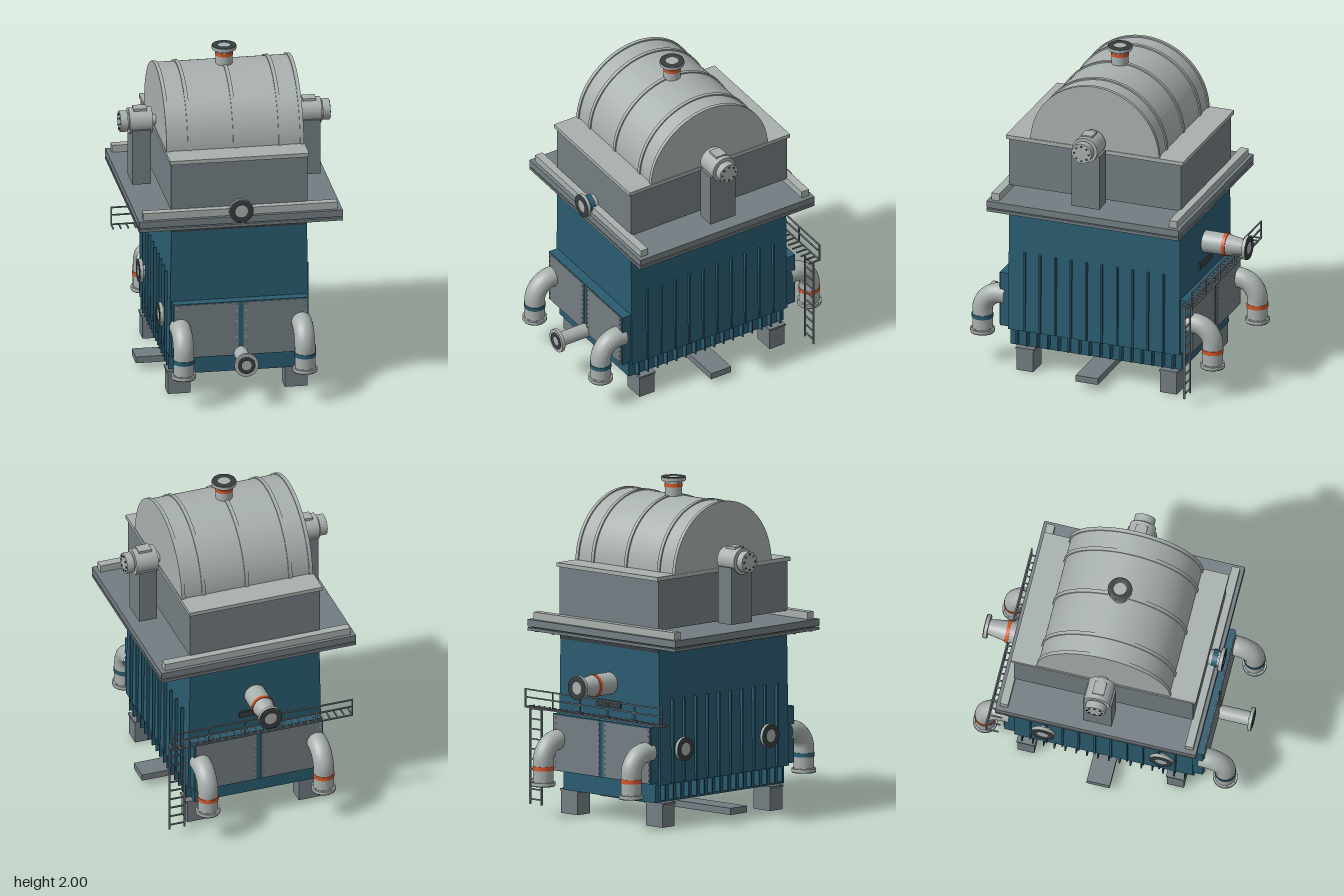
import * as THREE from 'three';

const mat = (name, color) => Object.assign(new THREE.MeshStandardMaterial({ color }), { name });
const UP = new THREE.Vector3(0, 1, 0);

export function createModel() {
  const light = mat('lightGrey', 0xa8b0ae);
  const mid = mat('midGrey', 0x737d82);
  const teal = mat('tealBlue', 0x2a5c70);
  const dark = mat('darkGrey', 0x363c3e);
  const orange = mat('orange', 0xd4572a);
  const model = new THREE.Group();
  model.name = 'industrialUnit';

  const add = (name, geo, material, parent = model) => {
    const m = new THREE.Mesh(geo, material);
    m.name = name;
    parent.add(m);
    return m;
  };
  // box given by its min and max on each axis
  const box = (name, material, x0, x1, y0, y1, z0, z1, parent = model) => {
    const m = add(name, new THREE.BoxGeometry(x1 - x0, y1 - y0, z1 - z0), material, parent);
    m.position.set((x0 + x1) / 2, (y0 + y1) / 2, (z0 + z1) / 2);
    return m;
  };
  // cylinder along local y between two heights
  const rod = (name, material, r0, r1, y0, y1, parent, sides = 32) => {
    const m = add(name, new THREE.CylinderGeometry(r1, r0, y1 - y0, sides), material, parent);
    m.position.y = (y0 + y1) / 2;
    return m;
  };
  // group whose local y points along dir
  const axis = (name, x, y, z, dx, dy, dz) => {
    const g = new THREE.Group();
    g.name = name;
    g.position.set(x, y, z);
    g.quaternion.setFromUnitVectors(UP, new THREE.Vector3(dx, dy, dz));
    model.add(g);
    return g;
  };
  // flange with a dark gasket face, ending at height end
  const flange = (g, end, r, ringOut = r * 0.97, ringIn = 0.038) => {
    rod('flange', light, r, r, end - 0.024, end - 0.004, g);
    const ring = [[ringIn, -0.006], [ringOut, -0.006], [ringOut, 0], [ringIn, 0], [ringIn, -0.006]];
    add('gasket', new THREE.LatheGeometry(ring.map(p => new THREE.Vector2(...p)), 32), dark, g).position.y = end;
    for (let i = 0; i < 8; i++) {
      const a = (i + 0.5) * Math.PI / 4;
      const b = rod('flangeBolt', light, 0.005, 0.005, end - 0.029, end - 0.023, g, 6);
      b.position.x = Math.cos(a) * (r - 0.011);
      b.position.z = Math.sin(a) * (r - 0.011);
    }
  };

  // feet and cross beam
  for (const s of [-1, 1]) for (const z of [0.44, -0.47]) {
    box('foot', mid, s * 0.35 - 0.068, s * 0.35 + 0.068, 0, 0.135, z - 0.052, z + 0.052);
    box('footCap', mid, s * 0.35 - 0.075, s * 0.35 + 0.075, 0.135, 0.147, z - 0.056, z + 0.056);
  }
  box('crossBeam', mid, -0.54, 0.54, 0.04, 0.08, -0.07, 0.07);

  // tapered body on a narrower base
  box('base', teal, -0.38, 0.38, 0.145, 0.26, -0.54, 0.545);
  const taper = new THREE.Shape([[-0.42, 0.255], [0.42, 0.255], [0.405, 1.08], [-0.405, 1.08]]
    .map(p => new THREE.Vector2(...p)));
  add('body', new THREE.ExtrudeGeometry(taper, { depth: 1.085, bevelEnabled: false }), teal).position.z = -0.54;
  for (const z of [0.546, -0.541]) box('neckStrip', dark, -0.405, 0.405, 1.045, 1.08, z - 0.003, z + 0.003);
  for (const s of [-1, 1]) {
    for (let i = 0; i < 10; i++) {
      const z = 0.44 - i * 0.0978;
      box('sideRib', teal, s * 0.422 - 0.01, s * 0.422 + 0.01, 0.26, 0.76, z - 0.005, z + 0.005);
    }
    for (let i = 0; i < 16; i++) {
      const z = 0.495 - i * 0.066;
      box('baseGusset', teal, s * 0.398 - 0.02, s * 0.398 + 0.02, 0.16, 0.256, z - 0.004, z + 0.004);
    }
  }

  // access doors with rivets, front and back
  for (const f of [-1, 1]) {
    box('doorFrame', teal, -0.405, 0.405, 0.265, 0.605, f * 0.572 - 0.032, f * 0.572 + 0.032);
    for (const s of [-1, 1]) {
      box('door', mid, s * 0.205 - 0.19, s * 0.205 + 0.19, 0.27, 0.6, f * 0.605 - 0.004, f * 0.605 + 0.004);
      for (const x of [0.027, 0.383]) for (let i = 0; i < 10; i++) {
        const y = 0.285 + i * 0.033;
        box('rivet', light, s * x - 0.004, s * x + 0.004, y - 0.004, y + 0.004, f * 0.61 - 0.003, f * 0.61 + 0.003);
      }
    }
  }

  // elbow pipes: blue bands in front, orange at the back
  for (const f of [-1, 1]) for (const s of [-1, 1]) {
    const path = new THREE.CurvePath();
    const V = (y, z) => new THREE.Vector3(s * 0.363, y, f * z);
    path.add(new THREE.LineCurve3(V(0.453, 0.575), V(0.453, 0.61)));
    path.add(new THREE.CubicBezierCurve3(V(0.453, 0.61), V(0.453, 0.676), V(0.399, 0.73), V(0.333, 0.73)));
    path.add(new THREE.LineCurve3(V(0.333, 0.73), V(0.21, 0.73)));
    add('elbowPipe', new THREE.TubeGeometry(path, 36, 0.061, 24), light);
    const g = axis('elbowEnd', s * 0.363, 0.32, f * 0.73, 0, -1, 0);
    rod('elbowBand', f > 0 ? teal : orange, 0.064, 0.064, 0.01, 0.035, g);
    flange(g, 0.13, 0.073);
  }

  // front drain nozzle
  const drain = axis('drainNozzle', 0, 0.277, 0.54, 0, 0, 1);
  rod('drainPipe', light, 0.043, 0.043, 0, 0.26, drain);
  flange(drain, 0.275, 0.072, 0.053, 0.03);

  // upper front nozzle
  const inlet = axis('upperNozzle', 0, 1.185, 0.49, 0, 0, 1);
  rod('upperPipe', light, 0.048, 0.048, 0, 0.13, inlet);
  rod('upperBand', teal, 0.053, 0.053, 0.075, 0.107, inlet);
  flange(inlet, 0.145, 0.072);

  // rear nozzle with reducer and bracket
  const rear = axis('rearNozzle', 0, 0.822, -0.53, 0, 0, -1);
  rod('rearPipe', light, 0.066, 0.066, 0, 0.145, rear);
  rod('rearBand', orange, 0.069, 0.069, 0.135, 0.157, rear);
  rod('rearReducer', light, 0.066, 0.045, 0.145, 0.27, rear);
  flange(rear, 0.29, 0.073);
  box('rearBracket', dark, -0.1, 0.1, 0.68, 0.72, -0.55, -0.54);

  // side ports on the right
  for (const z of [-0.36, 0.36]) {
    const port = axis('sidePort', -0.4, 0.457, z, -1, 0, 0);
    rod('sidePortPipe', light, 0.046, 0.046, 0, 0.04, port);
    flange(port, 0.056, 0.071);
  }

  // deck plates, bolts and bearer bars
  box('lowerDeck', mid, -0.61, 0.61, 1.08, 1.097, -0.61, 0.61);
  box('deckSpacer', dark, -0.59, 0.59, 1.097, 1.104, -0.59, 0.59);
  box('upperDeck', mid, -0.61, 0.61, 1.104, 1.146, -0.61, 0.61);
  for (let i = 0; i < 9; i++) for (const s of [-1, 1]) {
    const t = -0.56 + i * 0.14;
    box('deckBolt', mid, t - 0.008, t + 0.008, 1.072, 1.08, s * 0.585 - 0.008, s * 0.585 + 0.008);
    box('deckBolt', mid, s * 0.585 - 0.008, s * 0.585 + 0.008, 1.072, 1.08, t - 0.008, t + 0.008);
  }
  for (const s of [-1, 1]) box('bearerBar', light, -0.582, 0.582, 1.146, 1.19, s * 0.563 - 0.025, s * 0.563 + 0.025);

  // upper casing and lid
  box('casing', mid, -0.408, 0.408, 1.18, 1.478, -0.545, 0.545);
  box('casingLid', light, -0.416, 0.416, 1.476, 1.5, -0.562, 0.562);

  // half drum with hoops
  const halfDrum = (name, r, x0, x1) => {
    const shape = new THREE.Shape();
    shape.absarc(0, 0, r, 0, Math.PI, false);
    shape.closePath();
    const geo = new THREE.ExtrudeGeometry(shape, { depth: x1 - x0, bevelEnabled: false, curveSegments: 28 });
    const m = add(name, geo, light);
    m.rotation.y = Math.PI / 2;
    m.position.set(x0, 1.486, 0);
  };
  halfDrum('drum', 0.4, -0.405, 0.405);
  for (const x of [-0.4, -0.272, 0, 0.272, 0.4]) halfDrum('drumHoop', 0.408, x - 0.011, x + 0.011);

  // top nozzle
  const top = axis('topNozzle', 0, 1.86, 0, 0, 1, 0);
  rod('topPipe', light, 0.05, 0.05, 0, 0.13, top);
  rod('topBand', orange, 0.054, 0.054, 0.078, 0.1, top);
  flange(top, 0.14, 0.073);

  // drive units on pedestals at each end of the drum
  for (const s of [-1, 1]) {
    box('pedestal', mid, s * 0.508 - 0.055, s * 0.508 + 0.055, 1.18, 1.52, -0.088, 0.088);
    const g = axis('driveUnit', 0, 1.552, 0, s, 0, 0);
    rod('driveShaft', light, 0.03, 0.03, 0.39, 0.45, g);
    rod('driveHousing', light, 0.079, 0.079, 0.437, 0.575, g);
    rod('driveNeck', light, 0.052, 0.052, 0.57, 0.595, g);
    rod('driveCover', light, 0.063, 0.063, 0.583, 0.628, g);
    for (let i = 0; i < 8; i++) {
      const b = rod('coverBolt', dark, 0.006, 0.006, 0.626, 0.633, g, 6);
      b.position.x = Math.cos(i * Math.PI / 4) * 0.046;
      b.position.z = Math.sin(i * Math.PI / 4) * 0.046;
    }
    box('drivePad', light, s * 0.506 - 0.04, s * 0.506 + 0.04, 1.62, 1.637, -0.035, 0.035);
  }

  // rear walkway with slats, rails and posts
  const t = 0.004;
  for (let i = 0; i < 26; i++) {
    const x = -0.562 + i * 0.04496;
    box('walkwaySlat', mid, x - t, x + t, 0.631, 0.639, -0.677, -0.6);
  }
  for (const y of [0.635, 0.695, 0.742]) box('walkwayRail', mid, -0.567, 0.567, y - t, y + t, -0.679, -0.671);
  for (let i = 0; i < 6; i++) {
    const x = -0.563 + i * 0.2252;
    box('railPost', mid, x - t, x + t, 0.631, 0.745, -0.679, -0.671);
  }

  // ladder
  for (const x of [0.474, 0.568]) box('ladderRail', mid, x - 0.005, x + 0.005, 0.05, 0.64, -0.634, -0.624);
  for (let i = 0; i < 10; i++) {
    const y = 0.08 + i * 0.06;
    box('ladderRung', mid, 0.474, 0.568, y - t, y + t, -0.633, -0.625);
  }
  return model;
}
